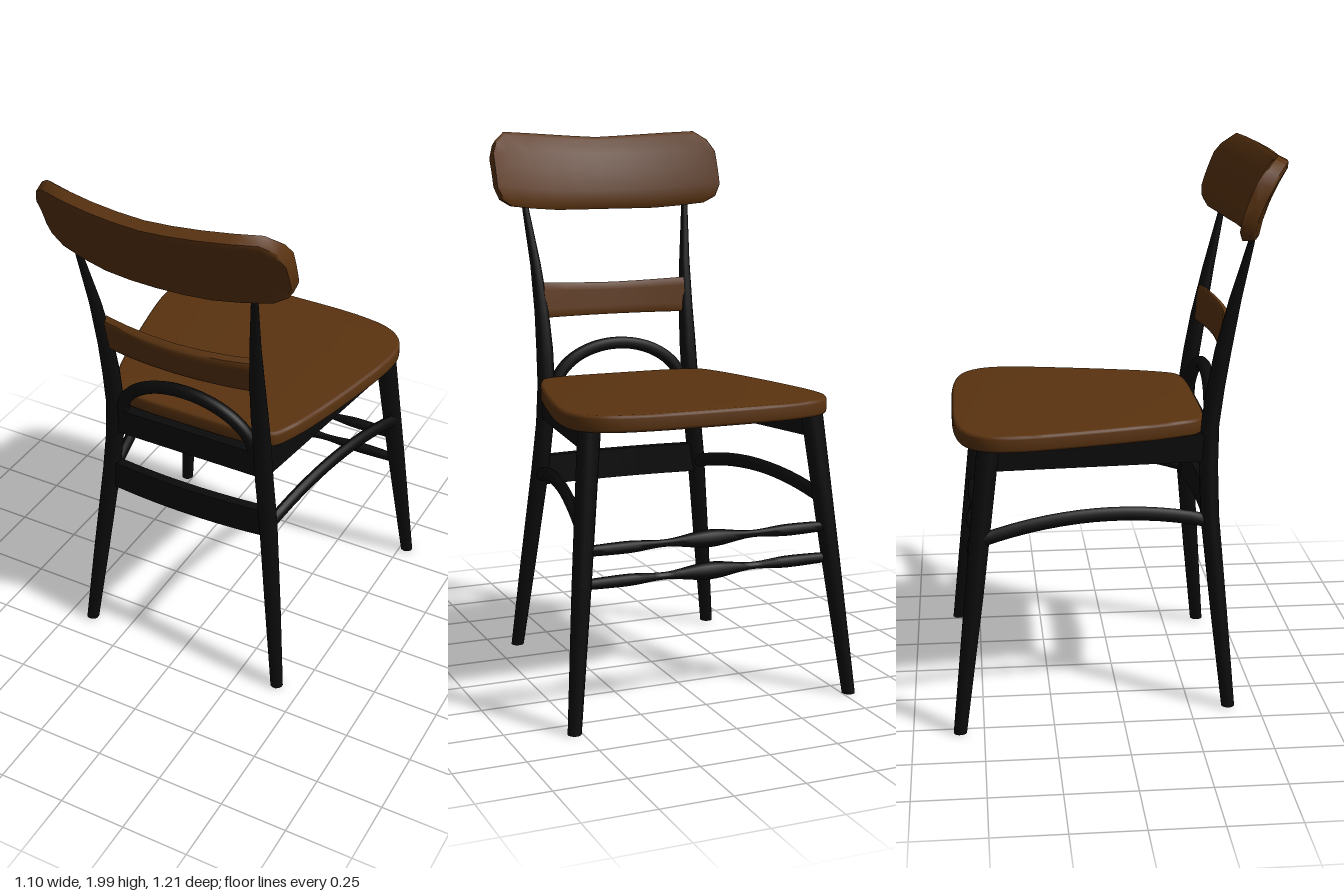
import * as THREE from 'three';
import { toCreasedNormals } from 'three/addons/utils/BufferGeometryUtils.js';

const wood = new THREE.MeshStandardMaterial({ color: 0x5a3310 });
const black = new THREE.MeshStandardMaterial({ color: 0x0b0b0b });

// Closed skin over a row of equal-sized rings, capped at both ends
function loft(rings) {
  const n = rings[0].length, m = rings.length, idx = [];
  const pts = rings.flat();
  for (let i = 0; i < m - 1; i++) {
    for (let j = 0; j < n; j++) {
      const a = i * n + j, b = i * n + (j + 1) % n;
      idx.push([a, b, b + n], [a, b + n, a + n]);
    }
  }
  // cap centres
  for (const r of [0, m - 1]) {
    const c = rings[r].reduce((s, p) => s.add(p), new THREE.Vector3()).divideScalar(n);
    pts.push(c);
    for (let j = 0; j < n; j++) {
      const a = r * n + j, b = r * n + (j + 1) % n;
      idx.push(r ? [a, b, pts.length - 1] : [b, a, pts.length - 1]);
    }
  }
  // turn the faces outward
  let volume = 0;
  for (const [a, b, c] of idx) volume += pts[a].dot(new THREE.Vector3().crossVectors(pts[b], pts[c]));
  if (volume < 0) idx.forEach((f) => f.reverse());
  const g = new THREE.BufferGeometry().setFromPoints(pts);
  g.setIndex(idx.flat());
  return toCreasedNormals(g, 0.75);
}

// Bar along one axis; stations are [x, y, z, half size a, half size b]
function bar(axis, stations, sides) {
  const k = sides === 4 ? Math.SQRT2 : 1;
  return loft(stations.map(([x, y, z, a, b]) => Array.from({ length: sides }, (_, i) => {
    const t = ((i + 0.5) / sides) * Math.PI * 2;
    const u = Math.cos(t) * a * k, v = Math.sin(t) * b * k;
    if (axis === 'y') return new THREE.Vector3(x + u, y, z + v);
    if (axis === 'x') return new THREE.Vector3(x, y + u, z + v);
    return new THREE.Vector3(x + u, y + v, z);
  })));
}

// Values from -1 to 1
const steps = (n) => Array.from({ length: n + 1 }, (_, i) => (2 * i) / n - 1);

export function createModel() {
  const group = new THREE.Group();
  const add = (name, geometry, material) => {
    const mesh = new THREE.Mesh(geometry, material);
    mesh.name = name;
    group.add(mesh);
  };

  // Seat: rounded trapezoid, wide at the sitter's knees
  const half = [[0.27, -0.58], [0.4, -0.55], [0.46, -0.5], [0.487, -0.44], [0.49, -0.36], [0.475, -0.25],
    [0.41, 0.05], [0.365, 0.2], [0.322, 0.282], [0.25, 0.305]];
  const outline = [[0, -0.588], ...half, [0, 0.312], ...half.map(([x, z]) => [-x, z]).reverse()];
  const curve = new THREE.CatmullRomCurve3(outline.map(([x, z]) => new THREE.Vector3(x, z, 0)), true);
  const shape = new THREE.Shape(curve.getPoints(72).slice(0, -1).map((p) => new THREE.Vector2(p.x, p.y)));
  const seat = new THREE.ExtrudeGeometry(shape, {
    depth: 0.036, bevelThickness: 0.012, bevelSize: 0.012, bevelOffset: -0.012, bevelSegments: 3,
  });
  seat.rotateX(Math.PI / 2).translate(0, 1.068, 0);
  add('seat', toCreasedNormals(seat, 0.6), wood);

  for (const [s, side] of [[1, 'left'], [-1, 'right']]) {
    // Splayed rear leg running up into the tapered back post
    add(side + 'BackPost', bar('y', [
      [0.408, 0.01, 0.39, 0.024, 0.024], [0.37, 0.35, 0.358, 0.03, 0.03], [0.328, 0.72, 0.324, 0.034, 0.034],
      [0.308, 0.9, 0.32, 0.034, 0.034], [0.3, 1.05, 0.324, 0.033, 0.033], [0.298, 1.18, 0.342, 0.032, 0.032],
      [0.3, 1.32, 0.366, 0.027, 0.03], [0.31, 1.5, 0.403, 0.02, 0.022], [0.33, 1.7, 0.45, 0.013, 0.012],
      [0.335, 1.78, 0.465, 0.011, 0.01],
    ].map(([x, ...r]) => [s * x, ...r]), 12), black);

    // Seat-front leg
    add(side + 'FrontLeg', bar('y', [
      [s * 0.526, 0.005, -0.585, 0.024, 0.024], [s * 0.475, 0.5, -0.525, 0.034, 0.034],
      [s * 0.422, 1.02, -0.465, 0.04, 0.04],
    ], 12), black);

    // Side apron under the seat
    add(side + 'Apron', bar('z', [
      [s * 0.305, 0.97, 0.31, 0.02, 0.05], [s * 0.415, 0.98, -0.46, 0.02, 0.04],
    ], 4), black);

    // Arched side stretcher
    add(side + 'Stretcher', bar('z', steps(14).map((t) => [
      s * (0.4 - 0.07 * t), 0.758 - 0.056 * t * t, -0.095 + 0.405 * t, 0.02, 0.026,
    ]), 10), black);
  }

  // Back apron and bowed back stretcher
  add('backApron', bar('x', [[-0.3, 0.97, 0.32, 0.05, 0.022], [0.3, 0.97, 0.32, 0.05, 0.022]], 4), black);
  add('backStretcher', bar('x', steps(10).map((t) => [
    0.325 * t, 0.718, 0.342 - 0.02 * t * t, 0.056, 0.018,
  ]), 4), black);

  // Two turned front stretchers
  const knots = new THREE.SplineCurve([[-0.46, 0.018], [-0.3, 0.021], [-0.16, 0.013], [0, 0.031],
    [0.16, 0.013], [0.3, 0.021], [0.46, 0.018]].map((p) => new THREE.Vector2(...p))).getPoints(36);
  for (const [y, z, name] of [[0.5, -0.517, 'lower'], [0.615, -0.515, 'upper']]) {
    add(name + 'FrontStretcher', bar('x', knots.map((p) => [p.x, y, z, p.y, p.y]), 12), black);
  }

  // Hoop between the back posts
  const hoop = new THREE.CatmullRomCurve3(steps(16).map((t) => {
    const a = (t * Math.PI) / 2;
    return new THREE.Vector3(0.27 * Math.sin(a), 1.0 + 0.19 * Math.cos(a), 0.322 + 0.022 * Math.cos(a));
  }));
  add('backHoop', new THREE.TubeGeometry(hoop, 40, 0.024, 10), black);

  // Curved back boards: each station is [x, bottom, top], bowed and leaning
  const board = (stations, center, bow, lean, power, thick) => {
    const all = [...stations.map(([x, b, t]) => [-x, b, t]).reverse(), ...stations.slice(1)];
    const range = stations[0];
    return loft(all.map(([x, b, t]) => {
      const point = (h, d) => {
        const y = b + (t - b) * h;
        const r = (y - range[1]) / (range[2] - range[1]);
        const z = center + lean * Math.pow(Math.max(r, 0), power) - bow * x * x;
        return new THREE.Vector3(x, y - d * 0.5 * h, z + d);
      };
      const rise = [0, 0.06, 0.25, 0.5, 0.75, 0.94, 1];
      const edge = (h) => (h === 0 || h === 1 ? 0.7 : 1) * thick / 2;
      return [...rise.map((h) => point(h, -edge(h))), ...[...rise].reverse().map((h) => point(h, edge(h)))];
    }));
  };
  add('topRail', board([
    [0, 1.7, 1.966], [0.1, 1.7, 1.971], [0.2, 1.701, 1.977], [0.3, 1.709, 1.983], [0.395, 1.72, 1.988],
    [0.44, 1.745, 1.955], [0.458, 1.785, 1.915],
  ], 0.492, 0.42, 0.095, 1.6, 0.054), wood);
  add('middleSlat', board([
    [0, 1.3, 1.417], [0.1, 1.3, 1.419], [0.2, 1.3, 1.423], [0.29, 1.3, 1.428],
  ], 0.39, 0.36, 0.018, 1, 0.03), wood);

  return group;
}
